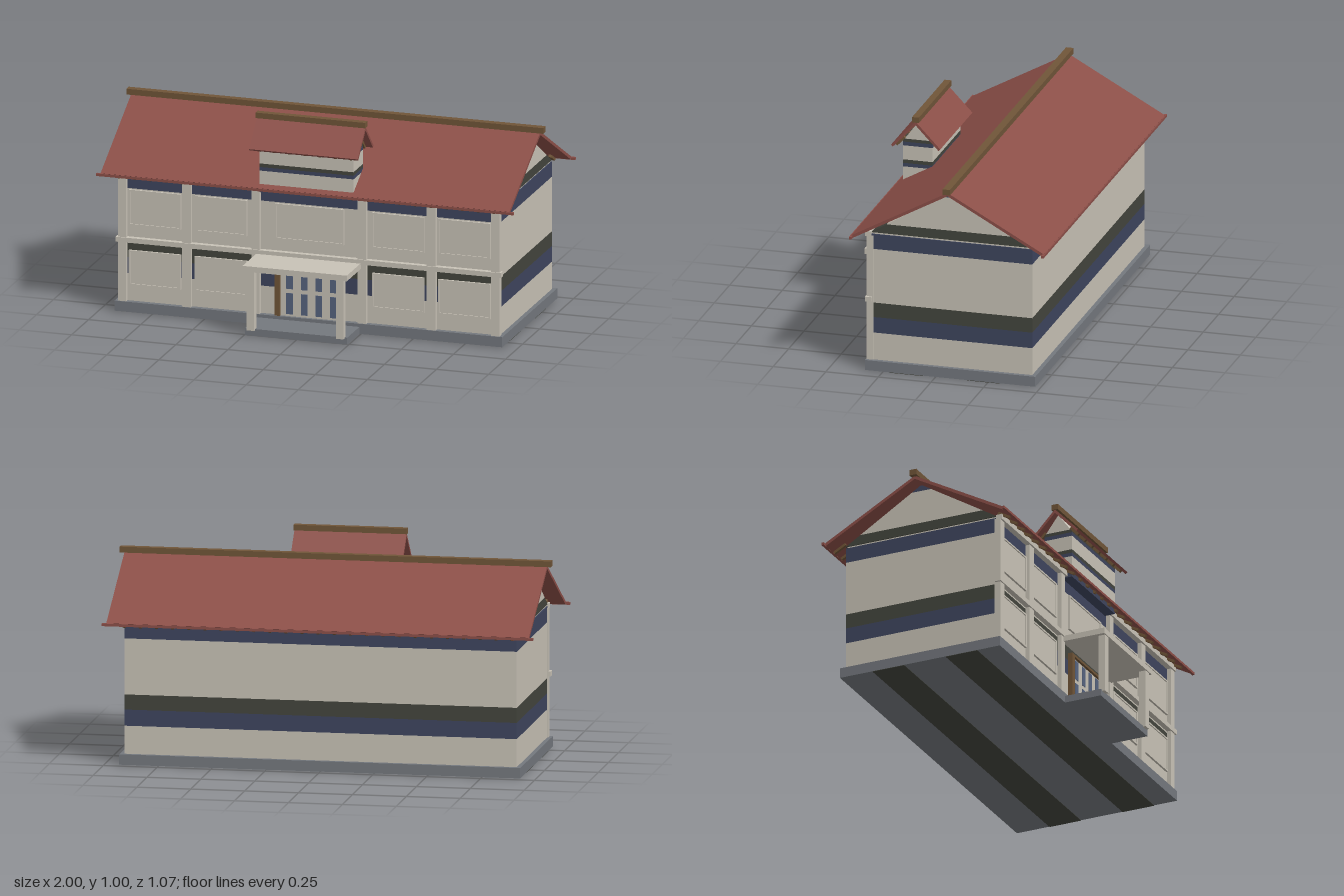
import * as THREE from 'three';

export function createModel() {
  const root = new THREE.Group();
  root.name = 'hall';
  const mat = (name, color) => {
    const m = new THREE.MeshStandardMaterial({ color });
    m.name = name;
    return m;
  };
  const cream = mat('cream plaster', 0xc8c2b6);
  const red = mat('red roof', 0x8c4f48);
  const navy = mat('navy band', 0x3e455e);
  const dark = mat('dark band', 0x43453d);
  const stone = mat('grey stone', 0x74787e);
  const brown = mat('brown wood', 0x705538);
  const glass = mat('blue glass', 0x56647f);

  const add = (name, geo, m, parent = root) => {
    const mesh = new THREE.Mesh(geo, m);
    mesh.name = name;
    parent.add(mesh);
    return mesh;
  };
  // Box given by its limits on each axis
  const box = (name, m, x0, x1, y0, y1, z0, z1, parent) => {
    const g = new THREE.BoxGeometry(x1 - x0, y1 - y0, z1 - z0);
    g.translate((x0 + x1) / 2, (y0 + y1) / 2, (z0 + z1) / 2);
    return add(name, g, m, parent);
  };
  // Prism along x from a [z, y] cross-section
  const prism = (name, m, pts, width, parent, x = 0) => {
    const g = new THREE.ExtrudeGeometry(new THREE.Shape(pts.map(p => new THREE.Vector2(...p))),
      { depth: width, bevelEnabled: false });
    g.rotateY(-Math.PI / 2);
    g.translate(x + width / 2, 0, 0);
    return add(name, g, m, parent);
  };
  const group = name => {
    const g = new THREE.Group();
    g.name = name;
    root.add(g);
    return g;
  };

  // Stone base with dark strips underneath
  box('plinth', stone, -0.93, 0.93, 0.002, 0.05, -0.475, 0.335);
  box('porchStep', stone, -0.245, 0.245, 0.002, 0.035, 0.335, 0.515);
  for (const [z0, z1] of [[-0.31, -0.15], [0.06, 0.22]])
    box('undersideStrip', dark, -0.93, 0.93, 0, 0.002, z0, z1);

  // Banded walls
  const walls = group('walls');
  const bands = [[0.05, 0.18, cream], [0.18, 0.255, navy], [0.255, 0.325, dark],
    [0.325, 0.585, cream], [0.585, 0.657, navy]];
  for (const [y0, y1, m] of bands)
    box('wallBand', m, -0.91, 0.91, y0, y1, -0.455, 0.31, walls);
  box('wallTop', cream, -0.905, 0.905, 0.657, 0.665, -0.45, 0.305, walls);

  // Banded gables: slices of a triangle
  const gable = (z, half, yb, ya, cuts, width, parent) => {
    const w = y => Math.max(half * (ya - y) / (ya - yb), 0.001);
    for (const [y0, y1, m] of cuts)
      prism('gableBand', m, [[z - w(y0), y0], [z + w(y0), y0], [z + w(y1), y1], [z - w(y1), y1]], width, parent);
  };
  gable(-0.0725, 0.3825, 0.665, 0.9,
    [[0.665, 0.71, dark], [0.71, 0.87, cream], [0.87, 0.897, navy]], 1.82, walls);

  // Pitched roof with ridge cap and rafter tails
  const roof = (name, z, half, ye, yr, t, width, rafters) => {
    const g = group(name);
    const len = Math.hypot(half, yr - ye);
    const c = half / len, s = (yr - ye) / len;
    const under = yr - t / c;
    prism('roofSlopes', red, [[z - half, ye], [z - half + s * t, ye - c * t], [z, under],
      [z + half - s * t, ye - c * t], [z + half, ye], [z, yr]], width, g);
    for (const side of [-1, 1]) {
      // Point at distance d up the slope and depth h below the tiles
      const at = (d, h) => [z + side * (half - d * c - h * s), ye + d * s - h * c];
      for (let i = 0; i < rafters.count; i++) {
        const x = -rafters.reach + 2 * rafters.reach * i / (rafters.count - 1);
        prism('rafterTail', brown, [at(0.004, t), at(rafters.length, t),
          at(rafters.length, t + 0.012), at(0.004, t + 0.012)], 0.014, g, x);
      }
    }
    return g;
  };
  const main = roof('mainRoof', -0.0725, 0.4575, 0.666, 0.917, 0.014, 1.96,
    { count: 25, reach: 0.9, length: 0.07 });
  box('ridgeCap', brown, -1, 1, 0.913, 0.94, -0.09, -0.055, main);
  for (const [z0, z1] of [[-0.535, -0.523], [0.378, 0.39]])
    box('eaveBoard', red, -1, 1, 0.653, 0.665, z0, z1, main);

  // Small lantern room rising through the front slope
  const lantern = group('lantern');
  const lanternBands = [[0.64, 0.66, navy], [0.66, 0.668, dark], [0.668, 0.743, cream], [0.743, 0.76, navy],
    [0.76, 0.777, dark], [0.777, 0.845, cream], [0.845, 0.863, navy], [0.863, 0.878, dark]];
  for (const [y0, y1, m] of lanternBands)
    box('lanternBand', m, -0.225, 0.225, y0, y1, 0.22, 0.36, lantern);
  gable(0.29, 0.062, 0.878, 0.962, [[0.878, 0.96, cream]], 0.45, lantern);
  const small = roof('lanternRoof', 0.29, 0.117, 0.855, 0.977, 0.012, 0.52,
    { count: 7, reach: 0.22, length: 0.06 });
  box('ridgeCap', brown, -0.263, 0.263, 0.974, 1, 0.274, 0.306, small);

  // Front columns and beams
  const facade = group('facade');
  for (const side of [-1, 1])
    for (const [a, b] of [[0.875, 0.915], [0.565, 0.608], [0.235, 0.275]])
      box('column', cream, Math.min(side * a, side * b), Math.max(side * a, side * b),
        0.05, 0.65, 0.3, 0.33, facade);
  box('middleBeam', cream, -0.925, 0.925, 0.332, 0.355, 0.305, 0.336, facade);
  box('topBeam', cream, -0.915, 0.915, 0.645, 0.67, 0.308, 0.338, facade);

  // Raised window panels, each a frame around an inner pane
  const panel = (x, w, y0, y1) => {
    const h = y1 - y0, f = 0.008;
    const frame = new THREE.Shape([[-1, 0], [1, 0], [1, 1], [-1, 1]]
      .map(([a, b]) => new THREE.Vector2(a * w / 2, b * h)));
    frame.holes.push(new THREE.Path([[-1, 0], [-1, 1], [1, 1], [1, 0]]
      .map(([a, b]) => new THREE.Vector2(a * (w / 2 - f), f + b * (h - 2 * f)))));
    const g = new THREE.ExtrudeGeometry(frame, { depth: 0.01, bevelEnabled: false });
    g.translate(x, y0, 0.31);
    add('windowFrame', g, cream, facade);
    box('windowPane', cream, x - w / 2 + f, x + w / 2 - f, y0 + f, y1 - f, 0.31, 0.315, facade);
  };
  for (const side of [-1, 1])
    for (const x of [0.742, 0.425]) {
      panel(side * x, 0.25, 0.41, 0.58);
      panel(side * x, 0.25, 0.125, 0.292);
    }
  panel(0, 0.33, 0.41, 0.58);

  // Entrance doors in a wooden frame
  const door = group('entrance');
  for (const side of [-1, 1])
    box('doorPost', brown, side * 0.15 - 0.012, side * 0.15 + 0.012, 0.05, 0.29, 0.305, 0.332, door);
  box('doorHead', brown, -0.162, 0.162, 0.278, 0.29, 0.305, 0.332, door);
  box('doorLeaves', cream, -0.14, 0.14, 0.05, 0.278, 0.305, 0.32, door);
  for (let i = 0; i < 4; i++) {
    const x = -0.14 + 0.07 * i;
    for (const [y0, y1] of [[0.06, 0.16], [0.18, 0.272]])
      box('doorGlass', glass, x + 0.03, x + 0.062, y0, y1, 0.32, 0.323, door);
  }

  // Porch canopy on two pillars
  const porch = group('porch');
  box('canopy', cream, -0.25, 0.25, 0.31, 0.337, 0.32, 0.535, porch);
  for (const side of [-1, 1])
    box('porchPillar', cream, side * 0.214 - 0.018, side * 0.214 + 0.018, 0.03, 0.31, 0.497, 0.53, porch);

  return root;
}
